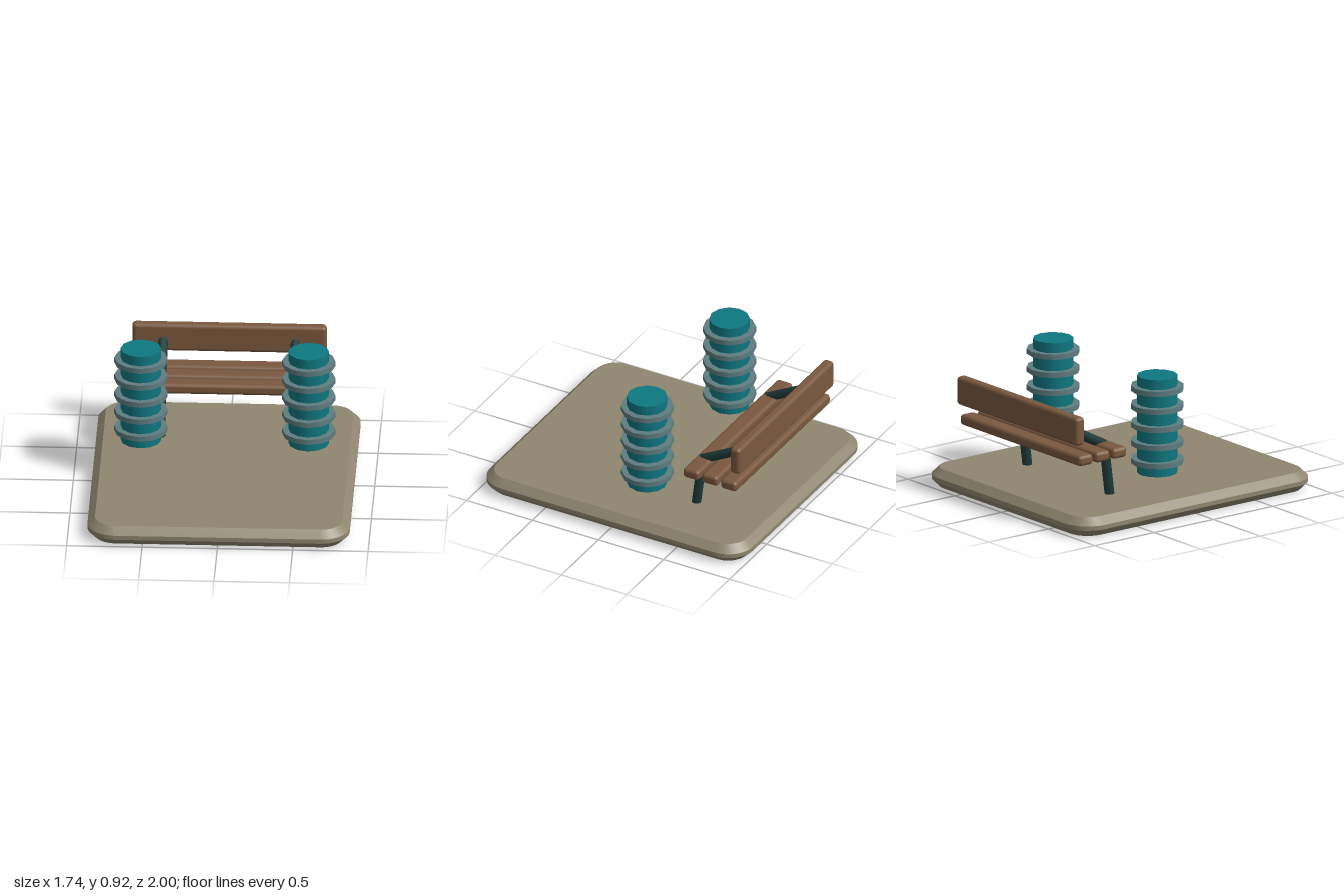
import * as THREE from 'three';
import { toCreasedNormals } from 'three/addons/utils/BufferGeometryUtils.js';
import { RoundedBoxGeometry } from 'three/addons/geometries/RoundedBoxGeometry.js';

const material = (name, color) => {
  const m = new THREE.MeshStandardMaterial({ color });
  m.name = name;
  return m;
};

export function createModel() {
  const stone = material('stone', 0x8f8670);
  const wood = material('brown wood', 0x7a583e);
  const iron = material('dark iron', 0x1f3a3a);
  const teal = material('teal', 0x0e7780);
  const steel = material('grey steel', 0x5f7d80);

  const model = new THREE.Group();
  model.name = 'benchWithBollards';

  const add = (parent, name, geometry, mat, x = 0, y = 0, z = 0) => {
    const mesh = new THREE.Mesh(geometry, mat);
    mesh.name = name;
    mesh.position.set(x, y, z);
    parent.add(mesh);
    return mesh;
  };

  // Round rod between two points
  const rod = (parent, name, from, to, radius) => {
    const a = new THREE.Vector3(...from);
    const dir = new THREE.Vector3(...to).sub(a);
    const mesh = add(parent, name, new THREE.CylinderGeometry(radius, radius, dir.length(), 8), iron);
    mesh.position.copy(a).addScaledVector(dir, 0.5);
    mesh.quaternion.setFromUnitVectors(new THREE.Vector3(0, 1, 0), dir.normalize());
  };

  // Base slab: rounded rectangle with a chamfer all round
  const bevel = 0.05, w = 0.87 - bevel, d = 1 - bevel, r = 0.14;
  const outline = new THREE.Shape();
  outline.absarc(w - r, d - r, r, 0, Math.PI / 2);
  outline.absarc(r - w, d - r, r, Math.PI / 2, Math.PI);
  outline.absarc(r - w, r - d, r, Math.PI, Math.PI * 1.5);
  outline.absarc(w - r, r - d, r, Math.PI * 1.5, Math.PI * 2);
  const slab = new THREE.ExtrudeGeometry(outline, {
    depth: 0.03, bevelThickness: bevel, bevelSize: bevel, bevelSegments: 1, curveSegments: 5,
  });
  slab.rotateX(-Math.PI / 2).translate(0, bevel, 0);
  add(model, 'baseSlab', toCreasedNormals(slab, 0.6), stone);

  // Bench: three seat slats and a backrest board
  const bench = new THREE.Group();
  bench.name = 'bench';
  model.add(bench);
  for (const z of [-0.503, -0.645, -0.788]) {
    add(bench, 'seatSlat', new RoundedBoxGeometry(1.29, 0.073, 0.12, 2, 0.025), wood, 0, 0.467, z);
  }
  add(bench, 'backrest', new RoundedBoxGeometry(1.29, 0.195, 0.075, 2, 0.025), wood, 0, 0.673, -0.838);

  // Leaning legs and backrest supports
  for (const x of [-0.44, 0.44]) {
    rod(bench, 'leg', [x, 0.12, -0.434], [x, 0.48, -0.48], 0.033);
    rod(bench, 'backSupport', [x, 0.475, -0.475], [x, 0.66, -0.82], 0.033);
  }

  // Ringed bollards
  for (const x of [-0.557, 0.557]) {
    const bollard = new THREE.Group();
    bollard.name = 'bollard';
    bollard.position.set(x, 0, -0.125);
    model.add(bollard);
    add(bollard, 'bollardBody', new THREE.CylinderGeometry(0.135, 0.135, 0.67, 12), teal, 0, 0.585, 0);
    for (let i = 0; i < 5; i++) {
      add(bollard, 'bollardRing', new THREE.CylinderGeometry(0.177, 0.177, 0.035, 12), steel, 0, 0.335 + i * 0.125, 0);
    }
  }
  return model;
}
